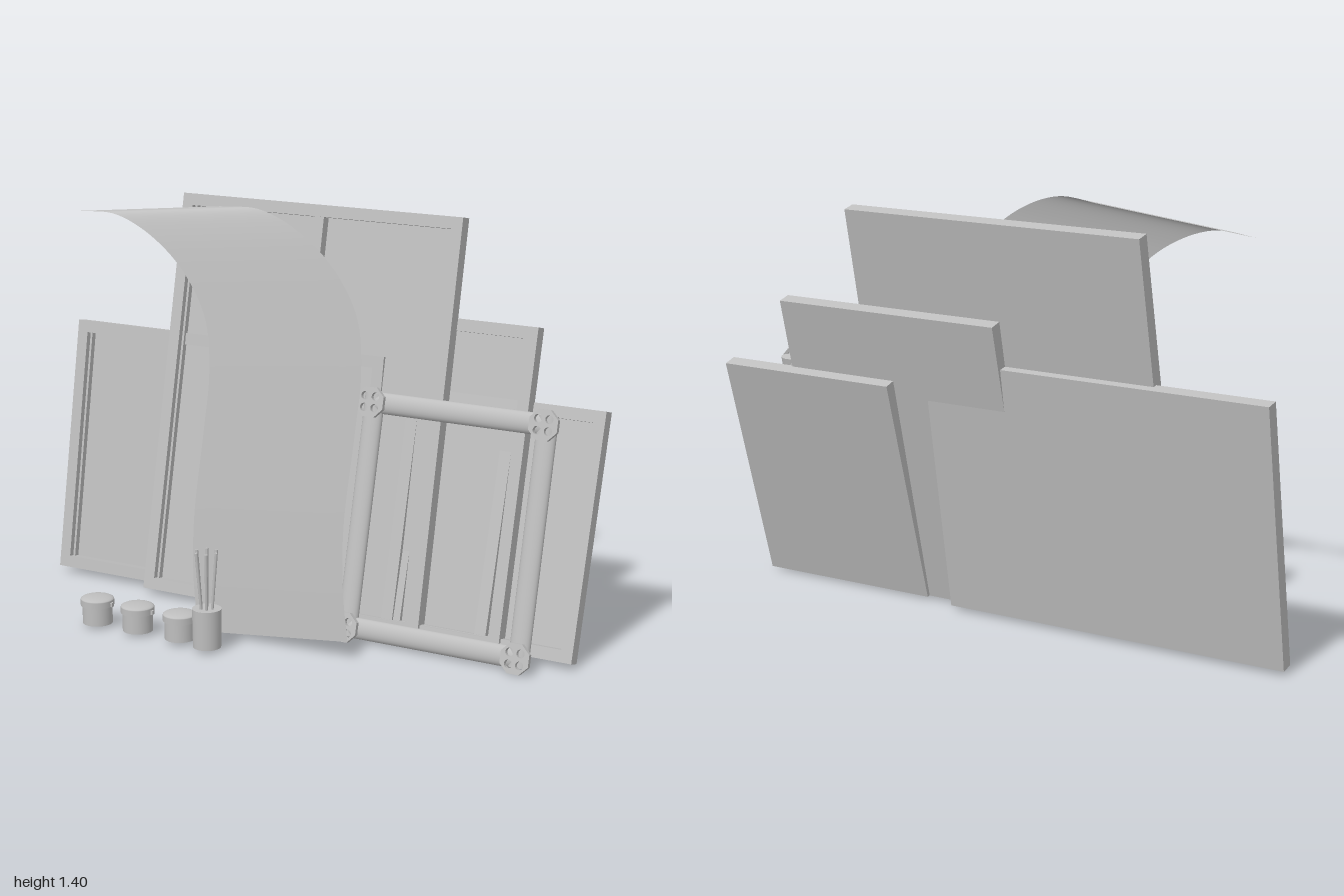
import * as THREE from 'three';

const grey = new THREE.MeshStandardMaterial({ color: 0xbebebe });
grey.name = 'plain grey';
const greySheet = grey;
greySheet.side = THREE.DoubleSide;

function add(parent, name, geometry, x = 0, y = 0, z = 0) {
  const mesh = new THREE.Mesh(geometry, grey);
  mesh.name = name;
  mesh.position.set(x, y, z);
  parent.add(mesh);
  return mesh;
}

// Stretched canvas seen from behind: bars in front, cloth at the back, leaning back
function canvas(name, x0, x1, topY, z0, topZ) {
  const g = new THREE.Group();
  g.name = name;
  const baseY = 0.03, bar = 0.04, depth = 0.04, w = x1 - x0;
  const h = Math.hypot(topY - baseY, topZ - z0);
  g.position.set((x0 + x1) / 2, baseY, z0);
  g.rotation.x = Math.atan2(topZ - z0, topY - baseY);
  for (const s of [-1, 1]) {
    add(g, 'sideBar', new THREE.BoxGeometry(bar, h, depth), s * (w - bar) / 2, h / 2, -depth / 2);
    add(g, 'crossBar', new THREE.BoxGeometry(w - 2 * bar, bar, depth), 0, h / 2 + s * (h - bar) / 2, -depth / 2);
    // thin inner lip
    add(g, 'innerLip', new THREE.BoxGeometry(0.008, h - 2 * bar, 0.02), s * (w / 2 - bar - 0.004), h / 2, -0.03);
  }
  add(g, 'middleBar', new THREE.BoxGeometry(bar, h - 2 * bar, 0.034), 0, h / 2, -0.023);
  add(g, 'cloth', new THREE.BoxGeometry(w, h, 0.006), 0, h / 2, -depth - 0.003);
  return g;
}

// Flattened round rail, along y or turned along x
function rail(parent, name, length, x, y, along) {
  const geo = new THREE.CylinderGeometry(0.035, 0.035, length, 24);
  if (along === 'x') geo.rotateZ(Math.PI / 2);
  geo.scale(1, 1, 0.62);
  add(parent, name, geo, x, y, 0);
}

// Octagonal corner rosette with four holes
function rosetteGeometry() {
  const shape = new THREE.Shape();
  for (let i = 0; i < 8; i++) {
    const a = (i + 0.5) * Math.PI / 4;
    shape[i ? 'lineTo' : 'moveTo'](0.053 * Math.cos(a), 0.053 * Math.sin(a));
  }
  shape.closePath();
  for (let i = 0; i < 4; i++) {
    const a = (i + 0.5) * Math.PI / 2;
    const hole = new THREE.Path();
    hole.absarc(0.027 * Math.cos(a), 0.027 * Math.sin(a), 0.014, 0, Math.PI * 2, true);
    shape.holes.push(hole);
  }
  return new THREE.ExtrudeGeometry(shape, { depth: 0.016, bevelEnabled: false, curveSegments: 8 });
}

function railFrame() {
  const g = new THREE.Group();
  g.name = 'railFrame';
  const left = 0.24, right = 0.855, h = 0.742, rosette = rosetteGeometry();
  g.position.set(0, 0.05, 0.015);
  g.rotation.x = -0.238;
  for (const y of [0, h]) rail(g, 'crossRail', right - left, (left + right) / 2, y, 'x');
  for (const x of [left, right]) {
    rail(g, 'uprightRail', h + 0.06, x, h / 2, 'y');
    for (const y of [0, h]) add(g, 'cornerRosette', rosette, x, y, 0.02);
  }
  return g;
}

// Hanging sheet: a straight width swept along a curling path
function curledSheet(parent) {
  const path = new THREE.CatmullRomCurve3([
    [-0.225, 0.008, 0.196], [-0.252, 0.18, 0.18], [-0.262, 0.38, 0.158], [-0.243, 0.68, 0.122],
    [-0.235, 0.87, 0.098], [-0.265, 1.04, 0.073], [-0.36, 1.18, 0.05], [-0.5, 1.285, 0.026],
    [-0.66, 1.342, 0], [-0.83, 1.335, -0.033],
  ].map(p => new THREE.Vector3(...p)));
  const geo = new THREE.PlaneGeometry(1, 1, 10, 60);
  const pos = geo.attributes.position;
  for (let i = 0; i < pos.count; i++) {
    const u = pos.getX(i) + 0.5, v = THREE.MathUtils.clamp(pos.getY(i) + 0.5, 0, 1);
    const p = path.getPoint(v);
    pos.setXYZ(i, p.x + 0.562 * u, p.y + 0.06 * u, p.z);
  }
  geo.computeVertexNormals();
  add(parent, 'curledSheet', geo);
}

// Lidded paint pot with a small tab
function paintPot(x) {
  const g = new THREE.Group();
  g.name = 'paintPot';
  g.position.set(x, 0.018, 0.31);
  add(g, 'potBody', new THREE.CylinderGeometry(0.05, 0.05, 0.07, 32), 0, 0.035, 0);
  add(g, 'potRim', new THREE.CylinderGeometry(0.056, 0.056, 0.02, 32), 0, 0.072, 0);
  const dome = new THREE.SphereGeometry(0.056, 32, 8, 0, Math.PI * 2, 0, Math.PI / 2);
  dome.scale(1, 0.22, 1);
  add(g, 'potLid', dome, 0, 0.082, 0);
  add(g, 'potTab', new THREE.BoxGeometry(0.012, 0.014, 0.012), 0.056, 0.07, 0);
  return g;
}

// Cup holding six splayed brushes
function brushCup() {
  const g = new THREE.Group();
  g.name = 'brushCup';
  g.position.set(-0.105, 0.018, 0.335);
  add(g, 'cup', new THREE.CylinderGeometry(0.048, 0.046, 0.13, 32), 0, 0.065, 0);
  for (let i = 0; i < 6; i++) {
    const a = i * Math.PI / 3, c = Math.cos(a), s = Math.sin(a);
    const line = new THREE.LineCurve3(
      new THREE.Vector3(0.02 * c, 0.12, 0.02 * s), new THREE.Vector3(0.037 * c, 0.322, 0.037 * s));
    const brush = new THREE.CylinderGeometry(0.0055, 0.0045, line.getLength(), 8);
    const mesh = add(g, 'brush', brush);
    mesh.position.copy(line.getPoint(0.5));
    mesh.quaternion.setFromUnitVectors(new THREE.Vector3(0, 1, 0), line.getTangent(0));
  }
  return g;
}

export function createModel() {
  const model = new THREE.Group();
  model.name = 'studioCorner';
  model.add(
    canvas('tallCanvas', -0.6, 0.465, 1.375, -0.043, -0.335),
    canvas('middleCanvas', -0.07, 0.75, 1.047, -0.053, -0.31),
    canvas('smallCanvas', 0.345, 1, 0.805, -0.065, -0.29),
    canvas('wideCanvas', -1, 0.22, 0.9, -0.11, -0.262),
    railFrame(),
    brushCup(),
  );
  for (const x of [-0.55, -0.39, -0.225]) model.add(paintPot(x));
  curledSheet(model);
  return model;
}
